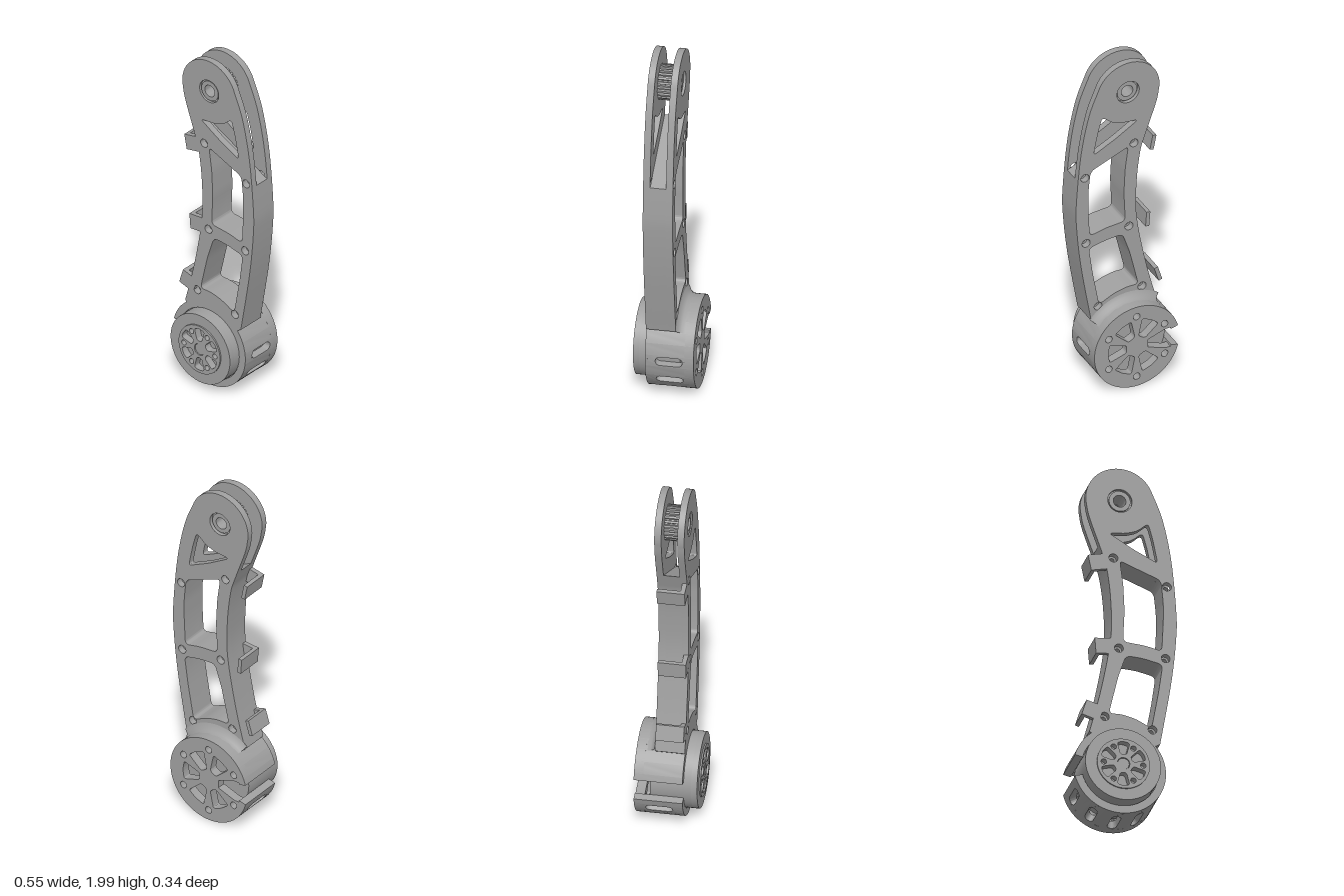
import * as THREE from 'three';
import { toCreasedNormals } from 'three/addons/utils/BufferGeometryUtils.js';

const V = (x, y) => new THREE.Vector2(x, y);
const RAD = Math.PI / 180;
const MOTOR = V(-0.035, 0.255), PIVOT = V(-0.035, 1.815);
const FRONT = 0.09, BACK = -0.07, SLOT_FRONT = 0.053, SLOT_BACK = -0.033;

const grey = new THREE.MeshStandardMaterial({ color: 0xa0a0a0 });
grey.name = 'grey';

// ---- helpers ----
function add(group, name, geometry) {
  const mesh = new THREE.Mesh(geometry, grey);
  mesh.name = name;
  group.add(mesh);
  return mesh;
}

function slab(shape, z0, z1) {
  const g = new THREE.ExtrudeGeometry(shape, { depth: z1 - z0, bevelEnabled: false, curveSegments: 24 });
  g.translate(0, 0, z0);
  return toCreasedNormals(g, 0.45);
}

function arc(c, r, a0, a1, n = 32) {
  return Array.from({ length: n + 1 }, (_, i) => {
    const a = (a0 + ((a1 - a0) * i) / n) * RAD;
    return V(c.x + r * Math.cos(a), c.y + r * Math.sin(a));
  });
}

const circle = (x, y, r) => new THREE.Path().absarc(x, y, r, 0, Math.PI * 2, false);
const disc = (r) => new THREE.Shape().absarc(0, 0, r, 0, Math.PI * 2, false);

// Closed polygon with rounded corners
function rounded(points, r) {
  const p = points.map(([x, y]) => V(x, y)), path = new THREE.Path();
  p.forEach((b, i) => {
    const a = p[(i + p.length - 1) % p.length], c = p[(i + 1) % p.length];
    const toward = (q) => b.clone().add(q.clone().sub(b).setLength(Math.min(r, q.distanceTo(b) * 0.48)));
    const s = toward(a), e = toward(c);
    if (i === 0) path.moveTo(s.x, s.y); else path.lineTo(s.x, s.y);
    path.quadraticCurveTo(b.x, b.y, e.x, e.y);
  });
  path.closePath();
  return path;
}

// Wedge pocket along direction a, between radii r0 and r1
function pocket(a, r0, r1, w0, w1) {
  const c = Math.cos(a), s = Math.sin(a);
  return rounded([[r0, -w0], [r1, -w1], [r1 + 0.008, 0], [r1, w1], [r0, w0]]
    .map(([x, y]) => [x * c - y * s, x * s + y * c]), 0.014);
}

// ---- arm outline ----
const spline = (pts) => new THREE.SplineCurve(pts.map(([x, y]) => V(x, y))).getPoints(40);
const rightEdge = spline([[0.183, 0.426], [0.243, 0.786], [0.27, 1.05], [0.27, 1.21],
  [0.243, 1.5], [0.196, 1.73], [0.139, 1.878]]);
const leftEdge = spline([[-0.217, 1.783], [-0.2, 1.7], [-0.132, 1.505], [-0.106, 1.415],
  [-0.085, 1.235], [-0.085, 1.01], [-0.138, 0.706], [-0.2, 0.46]]);
const seat = arc(MOTOR, 0.23, 127, 40);
const screws = [[-0.07, 1.48], [0.22, 1.345], [-0.04, 0.96], [0.213, 0.928], [-0.117, 0.555], [0.142, 0.506]];

const upperWindow = () => rounded([[-0.036, 1.467], [0.0, 1.452], [0.187, 1.377], [0.2, 1.25], [0.2, 1.14],
  [0.192, 0.968], [0.1, 0.99], [-0.018, 1.0], [-0.01, 1.18], [-0.017, 1.33]], 0.03);
const lowerWindow = () => rounded([[-0.002, 0.92], [0.09, 0.914], [0.197, 0.89], [0.175, 0.73], [0.137, 0.515],
  [0.048, 0.56], [-0.03, 0.578], [-0.095, 0.575], [-0.045, 0.79]], 0.03);
const topWindow = () => rounded([[-0.095, 1.622], [0.0, 1.63], [0.06, 1.65], [0.118, 1.7],
  [0.143, 1.61], [0.17, 1.475], [0.04, 1.54]], 0.025);

function makeArm() {
  const arm = new THREE.Group();
  arm.name = 'arm';
  const cheek = new THREE.Shape([...rightEdge, ...arc(PIVOT, 0.185, 22, 188, 40), ...leftEdge, ...seat]);
  cheek.holes.push(upperWindow(), lowerWindow(), topWindow(), circle(PIVOT.x, PIVOT.y, 0.066),
    ...screws.map(([x, y]) => circle(x, y, 0.024)));
  add(arm, 'frontCheek', slab(cheek, SLOT_FRONT, FRONT));
  add(arm, 'backCheek', slab(cheek, BACK, SLOT_BACK));

  // Solid middle layer stops at a sloped floor below the pulley slot
  const core = new THREE.Shape([...rightEdge.filter((p) => p.y < 1.38),
    ...leftEdge.filter((p) => p.y < 1.58), ...seat]);
  core.holes.push(upperWindow(), lowerWindow(), ...screws.map(([x, y]) => circle(x, y, 0.013)));
  add(arm, 'core', slab(core, SLOT_BACK, SLOT_FRONT));

  // L-shaped cable clips on the inner edge
  [[-0.12, 1.455, 0.2], [-0.088, 0.968, 0.08], [-0.152, 0.575, -0.3]].forEach(([x, y, tilt]) => {
    const clip = new THREE.Group();
    clip.name = 'cableClip';
    add(clip, 'clipArm', new THREE.BoxGeometry(0.1, 0.088, 0.025)).position.set(-0.03, 0, FRONT - 0.0126);
    add(clip, 'clipPlate', new THREE.BoxGeometry(0.022, 0.088, 0.15)).position.set(-0.069, 0, 0.0148);
    clip.position.set(x, y, 0);
    clip.rotation.z = tilt;
    arm.add(clip);
  });
  return arm;
}

function makePulley() {
  const pulley = new THREE.Group();
  pulley.name = 'pulley';
  const teeth = 24, pts = [];
  for (let i = 0; i < teeth; i++) {
    [[0, 0.084], [0.3, 0.084], [0.42, 0.097], [0.88, 0.097]].forEach(([f, r]) => {
      const a = ((i + f) / teeth) * Math.PI * 2;
      pts.push(V(r * Math.cos(a), r * Math.sin(a)));
    });
  }
  const gear = new THREE.Shape(pts);
  gear.holes.push(circle(0, 0, 0.036));
  add(pulley, 'toothedWheel', slab(gear, SLOT_BACK, SLOT_FRONT));
  // Bearings sit slightly recessed in both cheeks
  const ring = disc(0.058), rim = disc(0.066);
  ring.holes.push(circle(0, 0, 0.034));
  rim.holes.push(circle(0, 0, 0.05));
  add(pulley, 'frontBearing', slab(ring, SLOT_FRONT, FRONT - 0.005));
  add(pulley, 'backBearing', slab(ring, BACK + 0.012, SLOT_BACK));
  add(pulley, 'frontBearingRim', slab(rim, SLOT_FRONT, FRONT - 0.015));
  add(pulley, 'backBearingRim', slab(rim, SLOT_BACK - 0.015, SLOT_BACK));
  pulley.position.set(PIVOT.x, PIVOT.y, 0);
  return pulley;
}

// Curved wall panel: a flat sheet bent around the motor axis
function wallPanel(from, to, slotted) {
  const mid = ((from + to) / 2) * RAD, h = ((to - from) / 2) * RAD;
  const us = [-1, -0.5, 0, 0.5, 1].map((k) => k * h);
  const sheet = new THREE.Shape([...us.map((u) => V(u, -0.17)), ...us.reverse().map((u) => V(u, FRONT))]);
  if (slotted) {
    const slot = new THREE.Path();
    slot.absellipse(0, 0.01, 0.1, 0.025, 0, Math.PI, false);
    slot.absellipse(0, -0.085, 0.1, 0.025, Math.PI, Math.PI * 2, false);
    slot.closePath();
    sheet.holes.push(slot);
  }
  const g = new THREE.ExtrudeGeometry(sheet, { depth: 0.042, bevelEnabled: false, curveSegments: 10 });
  const p = g.attributes.position;
  for (let i = 0; i < p.count; i++) {
    const a = mid + p.getX(i), r = 0.208 + p.getZ(i);
    p.setXYZ(i, r * Math.cos(a), r * Math.sin(a), p.getY(i));
  }
  return toCreasedNormals(g, 0.45);
}

function makeHousing() {
  const housing = new THREE.Group();
  housing.name = 'motorHousing';
  // Wall with vent slots around the lower half and a cable gap at the side
  for (let k = -10; k <= 10; k++) {
    add(housing, 'wallPanel', wallPanel(k * 15 - 7.5, k * 15 + 7.5, k <= 0 && k % 2 === 0));
  }
  add(housing, 'wallEnd', wallPanel(157.5, 166, false));
  add(housing, 'wallEnd', wallPanel(-166, -157.5, false));

  // Back plate with wedge pockets; the side pocket opens into the cable gap
  const plate = new THREE.Shape([...arc(V(0, 0), 0.25, -166, 166, 72),
    V(-0.17, 0.06), V(-0.065, 0.024), V(-0.065, -0.024), V(-0.17, -0.06)]);
  for (let i = 0; i < 6; i++) {
    const a = i * 60 * RAD, b = a + 30 * RAD;
    if (i !== 3) plate.holes.push(pocket(a, 0.06, 0.16, 0.022, 0.055));
    plate.holes.push(circle(0.19 * Math.cos(b), 0.19 * Math.sin(b), 0.02));
  }
  add(housing, 'backPlate', slab(plate, -0.17, -0.12));

  // Fillet blending the housing into the back of the arm
  const fillet = new THREE.LatheGeometry([V(0.249, -0.115), V(0.254, -0.095), V(0.266, -0.079), V(0.29, -0.069)],
    32, 128 * RAD, 90 * RAD);
  fillet.rotateX(Math.PI / 2);
  add(housing, 'fillet', fillet);
  housing.position.set(MOTOR.x, MOTOR.y, 0);
  return housing;
}

function makeMotor() {
  const motor = new THREE.Group();
  motor.name = 'motor';
  add(motor, 'motorBody', slab(disc(0.205), -0.09, 0.13));
  const ring = disc(0.205);
  ring.holes.push(circle(0, 0, 0.143));
  add(motor, 'motorRim', slab(ring, 0.13, 0.162));
  // Output flange with pockets and bolt holes
  const flange = disc(0.143);
  for (let i = 0; i < 6; i++) {
    const a = i * 60 * RAD;
    flange.holes.push(pocket(a + 30 * RAD, 0.052, 0.12, 0.016, 0.034));
    flange.holes.push(circle(0.107 * Math.cos(a), 0.107 * Math.sin(a), 0.015));
  }
  flange.holes.push(circle(0, 0, 0.034));
  add(motor, 'outputFlange', slab(flange, 0.13, 0.17));
  add(motor, 'flangeCentre', slab(disc(0.032), 0.13, 0.165));
  motor.position.set(MOTOR.x, MOTOR.y, 0);
  return motor;
}

export function createModel() {
  const model = new THREE.Group();
  model.name = 'legLink';
  model.add(makeArm(), makePulley(), makeHousing(), makeMotor());
  return model;
}
